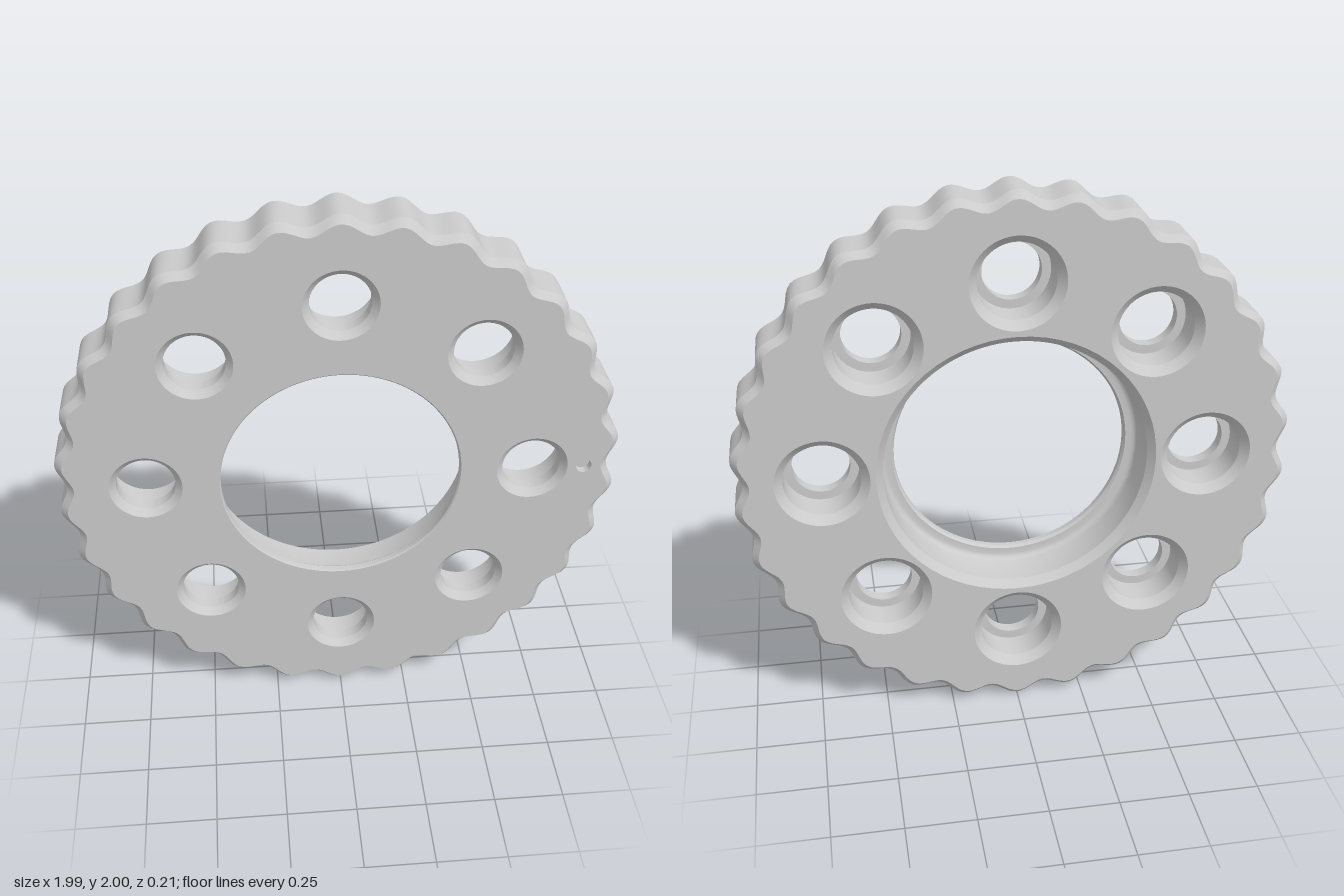
import * as THREE from 'three';
import { toCreasedNormals } from 'three/addons/utils/BufferGeometryUtils.js';

const HALF = 0.105;        // half thickness
const BEVEL = 0.026;
const LOBES = 30;
const STEPS = 360;
const PITCH = 0.6875;      // radius of the bolt circle

const material = new THREE.MeshStandardMaterial({ color: 0xcccccc });

// Wavy outline, with a lobe at the very top
function rimPoint(i, inset) {
  const a = (i / STEPS) * Math.PI * 2;
  const r = 0.981 + 0.019 * Math.cos(LOBES * (a - Math.PI / 2)) - inset;
  return new THREE.Vector2(r * Math.cos(a), r * Math.sin(a));
}

function mesh(name, geometry) {
  const m = new THREE.Mesh(geometry, material);
  m.name = name;
  return m;
}

// Scalloped edge with bevels, lofted from back to front
function rimGeometry() {
  const sections = [[-HALF, BEVEL], [-HALF + BEVEL, 0], [HALF - BEVEL, 0], [HALF, BEVEL]];
  const pos = [], index = [];
  for (const [z, inset] of sections) {
    for (let i = 0; i < STEPS; i++) {
      const p = rimPoint(i, inset);
      pos.push(p.x, p.y, z);
    }
  }
  for (let s = 0; s < sections.length - 1; s++) {
    for (let i = 0; i < STEPS; i++) {
      const j = (i + 1) % STEPS;
      const a = s * STEPS + i, b = s * STEPS + j;
      index.push(a, b, b + STEPS, a, b + STEPS, a + STEPS);
    }
  }
  const g = new THREE.BufferGeometry();
  g.setAttribute('position', new THREE.Float32BufferAttribute(pos, 3));
  g.setIndex(index);
  return toCreasedNormals(g, 0.5);
}

// Flat face pierced by circles given as [x, y, radius]
function faceGeometry(circles) {
  const outline = [];
  for (let i = 0; i < STEPS; i++) outline.push(rimPoint(i, BEVEL));
  const shape = new THREE.Shape(outline);
  for (const [x, y, r] of circles) {
    shape.holes.push(new THREE.Path().absarc(x, y, r, 0, Math.PI * 2, true));
  }
  return new THREE.ShapeGeometry(shape, 32);
}

// Inward-facing bore; profile of [radius, z] runs from front to back
function boreGeometry(profile, segments) {
  const g = new THREE.LatheGeometry(profile.map(([r, z]) => new THREE.Vector2(r, z)), segments);
  g.rotateX(Math.PI / 2);
  return toCreasedNormals(g, 0.5);
}

export function createModel() {
  const group = new THREE.Group();
  group.name = 'scallopedRing';
  const disc = new THREE.Group();
  disc.name = 'disc';
  disc.position.y = 1;
  group.add(disc);

  const centres = [];
  for (let i = 0; i < 8; i++) {
    const a = (i * Math.PI) / 4;
    centres.push([PITCH * Math.cos(a), PITCH * Math.sin(a)]);
  }

  disc.add(mesh('scallopedRim', rimGeometry()));

  // Front and back faces
  const dimple = [0.875, 0, 0.028];
  disc.add(mesh('frontFace', faceGeometry(
    [[0, 0, 0.43], dimple, ...centres.map(([x, y]) => [x, y, 0.128])])));
  disc.children[1].position.z = HALF;
  const back = mesh('backFace', faceGeometry(
    [[0, 0, 0.502], ...centres.map(([x, y]) => [x, y, 0.166])]));
  back.rotation.y = Math.PI;
  back.position.z = -HALF;
  disc.add(back);

  // Central bore: narrow lip in front, wide recess behind
  disc.add(mesh('centreBore', boreGeometry([
    [0.43, HALF], [0.425, 0.1], [0.425, 0.08], [0.432, 0.07], [0.455, 0.07],
    [0.465, 0.067], [0.472, 0.06], [0.475, 0.05], [0.475, -0.078], [0.502, -HALF],
  ], 128)));

  // Stepped bolt holes
  const holeGeometry = boreGeometry([
    [0.128, HALF], [0.104, 0.081], [0.104, 0.035], [0.136, 0.035],
    [0.136, -0.075], [0.166, -HALF],
  ], 64);
  centres.forEach(([x, y]) => {
    const hole = mesh('boltHole', holeGeometry);
    hole.position.set(x, y, 0);
    disc.add(hole);
  });

  // Small blind index mark on the front
  const mark = mesh('indexMark', boreGeometry(
    [[dimple[2], HALF], [dimple[2], HALF - 0.03], [0, HALF - 0.03]].map((p) => p), 32));
  // Floor of the mark faces the front
  const floor = mesh('indexMarkFloor', new THREE.CircleGeometry(dimple[2], 32));
  floor.position.z = HALF - 0.0295;
  mark.add(floor);
  mark.position.set(dimple[0], dimple[1], 0);
  disc.add(mark);

  return group;
}
